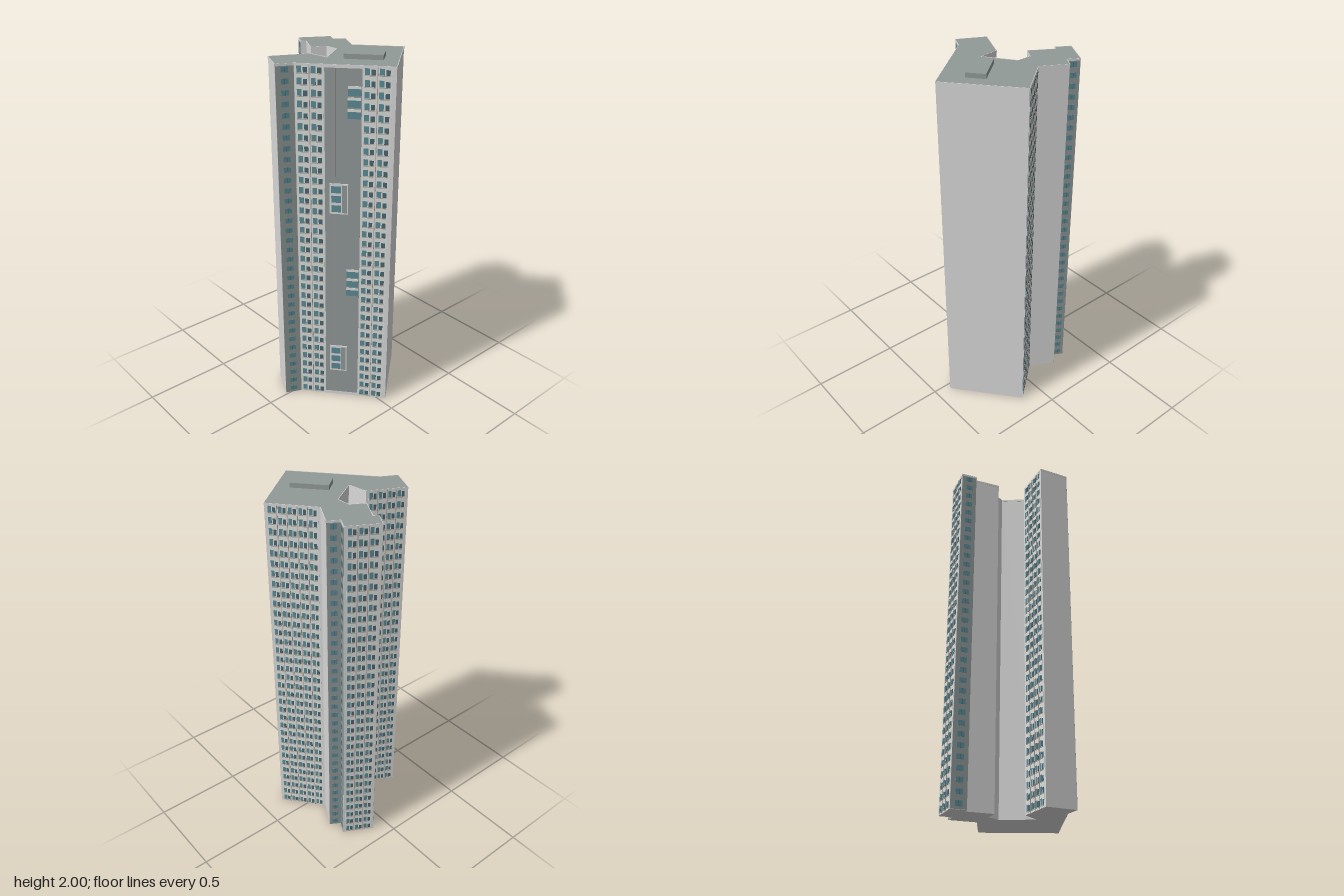
import * as THREE from 'three';
import { mergeGeometries } from 'three/addons/utils/BufferGeometryUtils.js';

const HEIGHT = 1.975, FLOORS = 34, STEP = HEIGHT / FLOORS;

// Footprint corners as [x, z], walking round from the front corner
const PLAN = [
  [0.035, 0.411], [0.374, 0.126], [0.197, -0.088], [0.274, -0.226], [0.215, -0.262], [0.25, -0.325],
  [0.092, -0.414], [0.048, -0.338], [0.072, -0.322], [-0.003, -0.192], [0.07, -0.15], [0.073, -0.067],
  [-0.088, 0.043], [-0.103, -0.072], [-0.3, -0.168], [-0.375, -0.014], [-0.29, 0.028],
];

function material(name, color) {
  const m = new THREE.MeshStandardMaterial({ color });
  m.name = name;
  return m;
}

function prism(points, bottom, height, mat, name) {
  const shape = new THREE.Shape(points.map(([x, z]) => new THREE.Vector2(x, -z)));
  const geo = new THREE.ExtrudeGeometry(shape, { depth: height, bevelEnabled: false });
  geo.rotateX(-Math.PI / 2).translate(0, bottom, 0);
  const mesh = new THREE.Mesh(geo, mat);
  mesh.name = name;
  return mesh;
}

// Collects boxes on one wall: x runs along the wall, y up, z outward
class Facade {
  constructor(name, from, to) {
    const dx = to[0] - from[0], dz = to[1] - from[1];
    this.length = Math.hypot(dx, dz);
    this.group = new THREE.Group();
    this.group.name = name;
    this.group.position.set(from[0], 0, from[1]);
    this.group.rotation.y = Math.atan2(-dz, dx);
    this.parts = new Map();
  }
  box(part, mat, x0, x1, y0, y1, z0, z1) {
    const geo = new THREE.BoxGeometry(x1 - x0, y1 - y0, z1 - z0);
    geo.translate((x0 + x1) / 2, (y0 + y1) / 2, (z0 + z1) / 2);
    if (!this.parts.has(part)) this.parts.set(part, { mat, geos: [] });
    this.parts.get(part).geos.push(geo);
  }
  build() {
    for (const [name, { mat, geos }] of this.parts) {
      const mesh = new THREE.Mesh(mergeGeometries(geos), mat);
      mesh.name = name;
      this.group.add(mesh);
    }
    return this.group;
  }
}

export function createModel() {
  const tower = new THREE.Group();
  tower.name = 'apartmentTower';
  const wall = material('light grey wall', 0xd8d9d8);
  const roof = material('slate concrete', 0x919a98);
  const pale = material('pale facade', 0xdcdfdb);
  const glass = material('teal glass', 0x5c8b96);
  const dark = material('dark glass', 0x4a6670);
  const trim = material('tan trim', 0xab9a90);

  // Light walls with a thin slate roof deck
  tower.add(prism(PLAN, 0, HEIGHT - 0.003, wall, 'towerBody'));
  tower.add(prism(PLAN, HEIGHT - 0.003, 0.003, roof, 'roofDeck'));

  // Lift housing on the roof
  tower.add(prism([[0.03, 0.055], [0.16, 0.207], [0.08, 0.272], [-0.047, 0.118]],
    HEIGHT, 0.025, roof, 'roofHousing'));

  const add = (name, i, fill) => {
    const f = new Facade(name, PLAN[i], PLAN[(i + 1) % PLAN.length]);
    fill(f);
    tower.add(f.build());
  };

  // A bay of paired windows repeated on every floor
  const windowBay = (f, x0, x1, pairs) => {
    f.box('palePanel', pale, x0, x1, 0.002, HEIGHT - 0.004, 0, 0.001);
    const w = (x1 - x0) / pairs;
    for (let p = 0; p < pairs; p++) {
      const x = x0 + p * w;
      for (let k = 0; k < FLOORS; k++) {
        const y = k * STEP;
        f.box('windows', glass, x + w * 0.12, x + w * 0.46, y + 0.014, y + 0.047, 0.001, 0.0025);
        f.box('balconyDoors', dark, x + w * 0.57, x + w * 0.86, y + 0.014, y + 0.041, 0.001, 0.0025);
        f.box('sills', trim, x + w * 0.1, x + w * 0.88, y + 0.009, y + 0.012, 0.001, 0.003);
      }
      if (p > 0) f.box('fins', trim, x - 0.0015, x + 0.0015, 0.002, HEIGHT - 0.004, 0.001, 0.0035);
    }
  };

  // A slate end wall with one window per floor
  const singleColumn = (f) => {
    const c = f.length / 2, h = Math.min(0.019, f.length * 0.24);
    f.box('slatePanel', roof, 0.001, f.length - 0.001, 0.002, HEIGHT - 0.004, 0, 0.001);
    for (let k = 0; k < FLOORS; k++) {
      const y = k * STEP;
      f.box('windows', glass, c - h, c + h, y + 0.016, y + 0.044, 0.001, 0.0025);
      f.box('mullions', dark, c - 0.001, c + 0.001, y + 0.016, y + 0.044, 0.0025, 0.0035);
    }
  };

  // Wide window walls
  const windowWalls = [['rightWindowWall', 1, 5], ['rearWingWindowWall', 5, 3], ['sideWingWindowWall', 13, 4]];
  for (const [name, i, pairs] of windowWalls) {
    add(name, i, (f) => windowBay(f, 0.012, f.length - 0.012, pairs));
  }

  // Narrow walls at the ends of the wings
  const narrowWalls = [['rearWingStep', 3], ['rearWingReturn', 4], ['rearWingEnd', 6], ['sideWingEnd', 15]];
  for (const [name, i] of narrowWalls) add(name, i, singleColumn);

  // Front left wall: two window bays with a slate band between them
  add('frontWindowWall', 16, (f) => {
    windowBay(f, 0.004, 0.146, 2);
    windowBay(f, 0.34, 0.482, 2);
    f.box('slateBand', roof, 0.15, 0.336, 0.02, 1.96, 0, 0.001);
    f.box('bandRib', trim, 0.2, 0.204, 0.02, 1.96, 0.001, 0.003);
    // Three-storey window groups flush with the band
    for (const y0 of [0.68, 1.7]) {
      for (let k = 0; k < 3; k++) {
        const y = y0 + k * STEP;
        f.box('bandWindows', glass, 0.266, 0.332, y + 0.008, y + 0.044, 0.001, 0.003);
        f.box('bandSpandrels', pale, 0.266, 0.332, y + 0.044, y + 0.058, 0.001, 0.003);
      }
    }
    // Framed three-storey window boxes
    for (const y0 of [0.175, 1.185]) {
      f.box('windowBoxes', wall, 0.174, 0.272, y0, y0 + 0.172, 0.001, 0.006);
      f.box('boxBacking', roof, 0.24, 0.266, y0 + 0.008, y0 + 0.164, 0.006, 0.007);
      for (let k = 0; k < 3; k++) {
        const y = y0 + 0.012 + k * 0.054;
        f.box('boxWindows', glass, 0.184, 0.236, y, y + 0.038, 0.006, 0.008);
      }
    }
  });

  // Thin light coping round the roof edge
  PLAN.forEach((_, i) => add('coping', i, (f) =>
    f.box('copingStrip', wall, 0, f.length, HEIGHT - 0.01, HEIGHT + 0.002, -0.001, 0.0015)));

  return tower;
}
